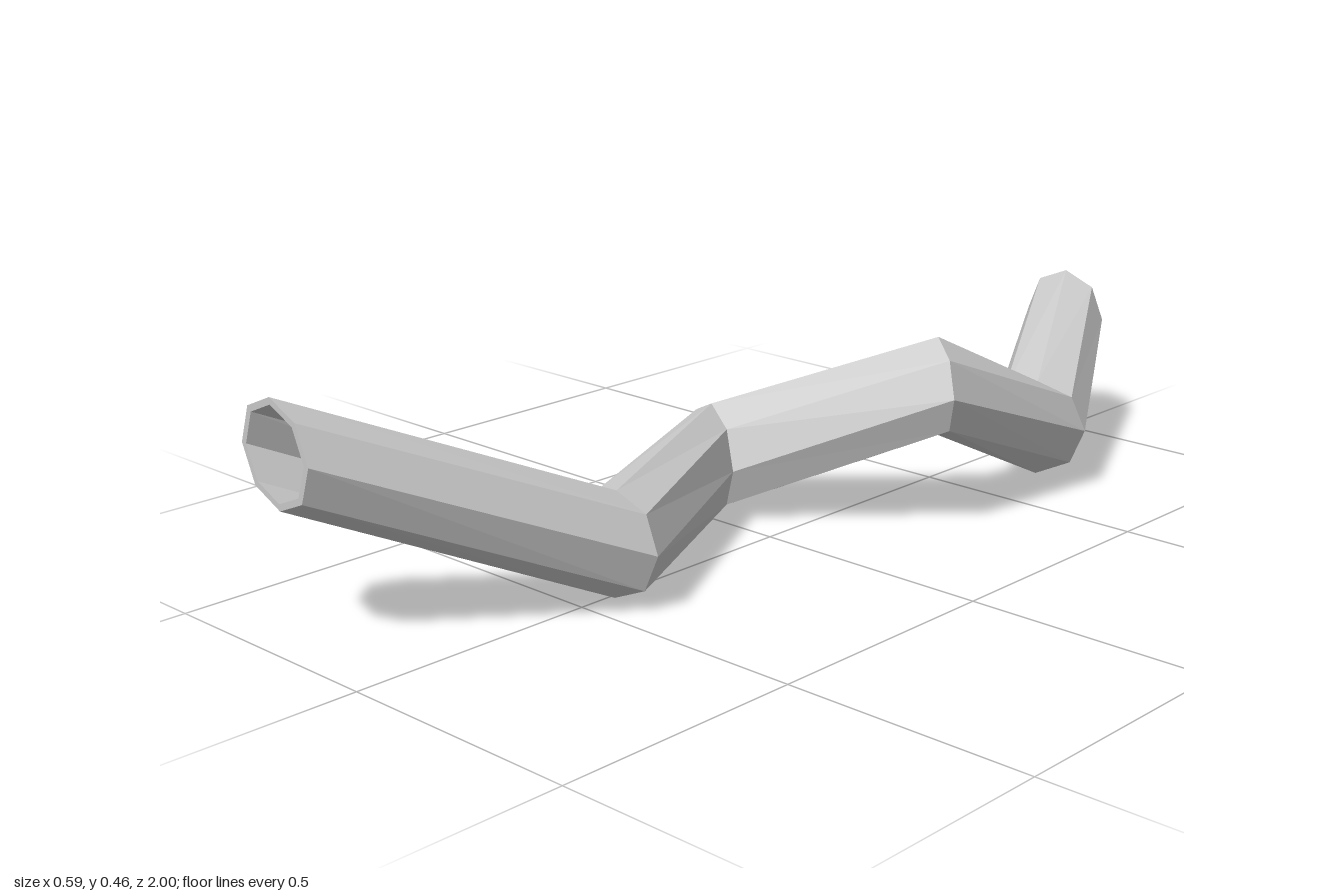
import * as THREE from 'three';

const SIDES = 8;
const WALL = 0.87; // inner size relative to outer

// Joints along the pipe: centre, then the tilted half-axes (across and upward) of each octagonal ring
const joints = [
  { c: [-0.197, 0.365, 0.993], u: [0.1, 0, 0.005], v: [0, 0.1, 0.003] },
  { c: [0.038, 0.118, 0.449], u: [0.1, 0, -0.008], v: [0, 0.101, -0.005] },
  { c: [-0.197, 0.115, -0.04], u: [0.1, 0, 0.042], v: [0.004, 0.113, 0.003] },
  { c: [0.207, 0.295, -0.258], u: [0.082, 0, 0.054], v: [0, 0.1, 0.003] },
  { c: [0.207, 0.135, -0.592], u: [0.088, 0, -0.047], v: [0, 0.1, 0.002] },
  { c: [-0.012, 0.268, -0.995], u: [0.097, 0, -0.004], v: [0, 0.098, 0.003] },
];

function ringPoint({ c, u, v }, scale, angle) {
  const cos = Math.cos(angle) * scale, sin = Math.sin(angle) * scale;
  return c.map((value, k) => value + cos * u[k] + sin * v[k]);
}

export function createModel() {
  const group = new THREE.Group();
  group.name = 'bentPipe';

  // Rings run down the outside and back up the bore, closing over both rims
  const rings = [
    ...joints.map((joint) => ({ joint, scale: 1 })),
    ...[...joints].reverse().map((joint) => ({ joint, scale: WALL })),
  ];
  const positions = [];
  for (const { joint, scale } of rings) {
    for (let j = 0; j < SIDES; j++) {
      positions.push(...ringPoint(joint, scale, (j / SIDES) * Math.PI * 2));
    }
  }

  const index = [];
  for (let i = 0; i < rings.length; i++) {
    const here = i * SIDES, next = ((i + 1) % rings.length) * SIDES;
    for (let j = 0; j < SIDES; j++) {
      const k = (j + 1) % SIDES;
      index.push(here + j, next + j, here + k, next + j, next + k, here + k);
    }
  }

  const geometry = new THREE.BufferGeometry();
  geometry.setAttribute('position', new THREE.Float32BufferAttribute(positions, 3));
  geometry.setIndex(index);
  geometry.computeVertexNormals();

  const material = new THREE.MeshStandardMaterial({ color: 0xcccccc, flatShading: true });
  const pipe = new THREE.Mesh(geometry, material);
  pipe.name = 'pipe';
  group.add(pipe);
  return group;
}
